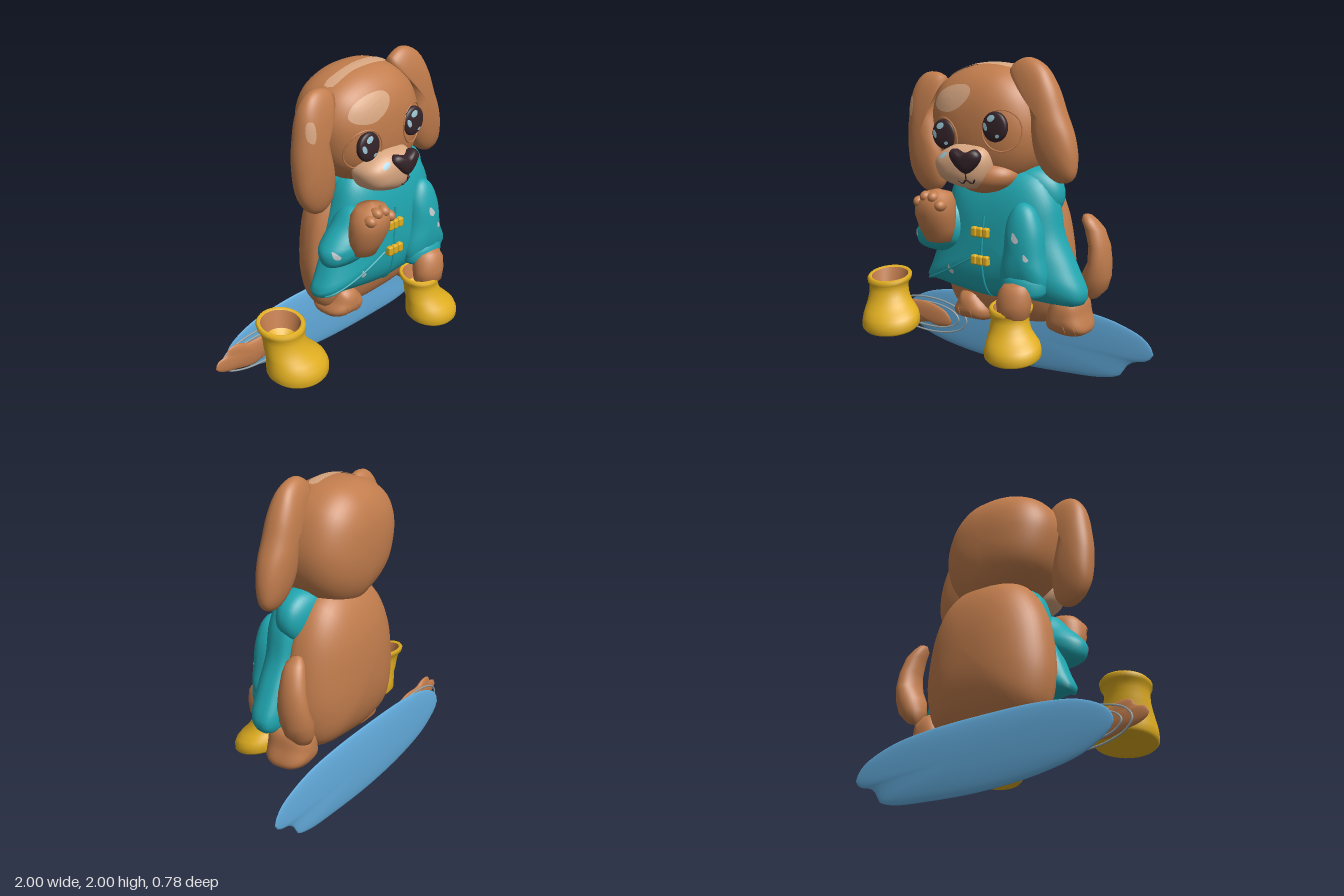
import * as THREE from 'three';
import { RoundedBoxGeometry } from 'three/addons/geometries/RoundedBoxGeometry.js';

const material = (name, color, side = THREE.FrontSide) => {
  const m = new THREE.MeshStandardMaterial({ color, side });
  m.name = name;
  return m;
};

// Smooth skin over a list of rings that all have the same point count
function skin(rings) {
  const n = rings[0].length, pos = [], index = [];
  rings.forEach(r => r.forEach(p => pos.push(p.x, p.y, p.z)));
  for (let i = 0; i < rings.length - 1; i++) for (let j = 0; j < n; j++) {
    const a = i * n + j, b = i * n + (j + 1) % n;
    index.push(a, b, b + n, a, b + n, a + n);
  }
  const g = new THREE.BufferGeometry();
  g.setAttribute('position', new THREE.Float32BufferAttribute(pos, 3));
  g.setIndex(index);
  g.computeVertexNormals();
  return g;
}

// Smooth closed outline through a few points, counter-clockwise
function outline(points, n) {
  const c = new THREE.CatmullRomCurve3(points.map(p => new THREE.Vector3(p[0], p[1], 0)), true, 'centripetal');
  const loop = c.getSpacedPoints(n).slice(0, n);
  if (THREE.ShapeUtils.area(loop) < 0) loop.reverse();
  const mid = loop.reduce((s, p) => s.add(p), new THREE.Vector3()).divideScalar(n);
  return { loop, mid };
}

const oval = (x, y, rx, ry, tilt = 0) => Array.from({ length: 12 }, (_, i) => {
  const a = i * Math.PI / 6, u = Math.cos(a) * rx, v = Math.sin(a) * ry;
  return [x + u * Math.cos(tilt) - v * Math.sin(tilt), y + u * Math.sin(tilt) + v * Math.cos(tilt)];
});

// Inflated outline: z is the seam, front and back are the bulge depths
function pillow(points, z, front, back, k = 2, n = 56) {
  const { loop, mid } = outline(points, n), rings = [], steps = 28;
  for (let i = 0; i <= steps; i++) {
    const a = -Math.PI / 2 + Math.PI * i / steps;
    const s = Math.max(Math.cos(a), 1e-4) ** (2 / k), h = Math.abs(Math.sin(a)) ** (2 / k);
    rings.push(loop.map(p => new THREE.Vector3().lerpVectors(mid, p, s).setZ(z + (a < 0 ? -back : front) * h)));
  }
  return skin(rings);
}

// Upright loft through [x, y, z, rx, rz] sections, with a forward lean of each section
function loft(sections, lean = 0, n = 36) {
  return skin(sections.map(([x, y, z, rx, rz]) => Array.from({ length: n }, (_, j) => {
    const a = j / n * Math.PI * 2, dz = -Math.sin(a) * rz;
    return new THREE.Vector3(x + Math.cos(a) * rx, y - lean * dz, z + dz);
  })));
}

// Drops points onto target meshes along -z, or along -y with the pair read as (x, -z)
const ray = new THREE.Raycaster();
function drop(x, y, targets, lift, above) {
  const o = above ? new THREE.Vector3(x, 5, -y) : new THREE.Vector3(x, y, 5);
  ray.set(o, above ? new THREE.Vector3(0, -1, 0) : new THREE.Vector3(0, 0, -1));
  const hit = ray.intersectObjects(targets)[0];
  const p = hit ? hit.point : o.setComponent(above ? 1 : 2, 0);
  p.setComponent(above ? 1 : 2, p.getComponent(above ? 1 : 2) + lift);
  return p;
}
function patch(points, targets, lift = 0.005, above = false) {
  const { loop, mid } = outline(points, 32);
  return skin([1, 0.8, 0.6, 0.4, 0.2, 0.001].map(s => loop.map(p =>
    drop(mid.x + (p.x - mid.x) * s, mid.y + (p.y - mid.y) * s, targets, lift, above))));
}
function line(points, targets, r, closed = false) {
  const flat = new THREE.CatmullRomCurve3(points.map(p => new THREE.Vector3(p[0], p[1], 0)), closed);
  const path = flat.getPoints(40).map(p => drop(p.x, p.y, targets, 0.002));
  if (closed) path.pop();
  return new THREE.TubeGeometry(new THREE.CatmullRomCurve3(path, closed), 80, r, 6, closed);
}

export function createModel() {
  const fur = material('brown fur', 0xc27d4d), tan = material('light fur', 0xd8a680, THREE.DoubleSide);
  const teal = material('teal coat', 0x20a7b1), yellow = material('yellow rubber', 0xe0ae20);
  const water = material('blue water', 0x63acdd), dark = material('dark', 0x35242a, THREE.DoubleSide);
  const glint = material('pale blue', 0x9cc8d6, THREE.DoubleSide), drip = material('pale grey', 0xc8cdd0, THREE.DoubleSide);
  const ripple = material('ripple grey', 0x98a4a6);
  const root = new THREE.Group();
  root.name = 'puppyInRaincoat';
  const add = (name, g, m) => {
    const mesh = new THREE.Mesh(g, m);
    mesh.name = name;
    root.add(mesh);
    return mesh;
  };

  // Puddle, mud and ripples
  add('puddle', pillow([[.4, .45], [.65, .43], [.82, .39], [.95, .33], [1, .25], [.96, .205], [.87, .18], [.82, .14], [.79, .085],
    [.68, .045], [.4, .018], [0, .004], [-.4, .03], [-.7, .1], [-.85, .21], [-.82, .29], [-.66, .38], [-.4, .43], [0, .45]],
    -.333, .025, .025, 2, 96), water);
  add('mud', pillow([[-1, .26], [-.98, .3], [-.92, .32], [-.9, .355], [-.83, .365], [-.76, .34], [-.6, .34], [-.45, .29], [-.41, .22],
    [-.5, .185], [-.6, .2], [-.72, .175], [-.86, .2], [-.96, .225]], -.23, .022, .022), fur);
  for (const [rx, ry] of [[.305, .117], [.24, .083]]) {
    const path = new THREE.CatmullRomCurve3(oval(-.62, .24, rx, ry).map(p => new THREE.Vector3(p[0], p[1], -.273)), true);
    add('ripple', new THREE.TubeGeometry(path, 72, .006, 6, true), ripple);
  }

  // Body, feet and tail
  add('body', pillow([[.1, 1.38], [.34, 1.32], [.46, 1.17], [.53, .92], [.54, .65], [.45, .44], [.2, .385], [-.1, .385],
    [-.27, .45], [-.335, .62], [-.335, .86], [-.28, 1.1], [-.14, 1.3]], -.13, .15, .26, 2.3), fur);
  const feet = [
    pillow([[-.25, .4], [-.22, .365], [-.1, .355], [0, .365], [.025, .42], [-.02, .5], [-.08, .56], [-.18, .55], [-.22, .47]], -.12, .15, .14, 2.6),
    pillow([[.42, .4], [.5, .365], [.62, .365], [.68, .4], [.66, .5], [.63, .6], [.5, .62], [.43, .52]], -.12, .13, .15, 2.6),
  ].map(g => add('foot', g, fur));
  for (const x of [-.17, -.08, .57, .63])
    add('toeLine', line([[x, .385], [x + .008, .41], [x, .44]], feet, .003), fur);
  add('tail', loft([[.6, .55, -.25, .002, .002], [.61, .57, -.25, .05, .05], [.635, .63, -.245, .085, .085], [.655, .71, -.24, .09, .1],
    [.68, .8, -.235, .066, .1], [.678, .9, -.23, .061, .085], [.65, 1, -.22, .058, .07], [.62, 1.05, -.21, .047, .055],
    [.603, 1.08, -.21, .025, .03], [.598, 1.088, -.21, .001, .001]]), fur);

  // Raincoat
  const coat = add('coat', pillow([[-.15, 1.3], [-.24, 1.08], [-.3, .88], [-.36, .72], [-.405, .6], [-.34, .6], [-.15, .57], [.1, .55],
    [.3, .57], [.55, .57], [.68, .585], [.71, .64], [.64, .8], [.55, .98], [.5, 1.2], [.4, 1.33], [.1, 1.36]],
    -.03, .19, .11, 2.6, 72), teal);
  add('hood', pillow([[-.18, 1.26], [-.16, 1.17], [.1, 1.12], [.28, 1.06], [.44, 1.07], [.52, 1.17], [.51, 1.28], [.42, 1.36],
    [.28, 1.37], [.05, 1.33], [-.1, 1.32]], -.06, .14, .12, 2.4), teal);
  const rightSleeve = add('rightSleeve', pillow([[-.2, 1.16], [-.3, 1.06], [-.38, .98], [-.42, .92], [-.4, .84], [-.3, .81], [-.17, .82],
    [-.07, .88], [-.04, .97], [-.08, 1.1]], .08, .13, .13), teal);
  const leftSleeve = add('leftSleeve', pillow([[.35, 1.18], [.28, 1.1], [.25, .9], [.225, .72], [.26, .645], [.38, .635], [.5, .66],
    [.53, .74], [.51, .87], [.48, 1.05], [.42, 1.16]], .12, .105, .1, 2.3), teal);
  add('leftCuff', loft([[.38, .64, .13, .06, .05], [.38, .64, .13, .125, .09], [.38, .67, .13, .145, .105], [.38, .73, .13, .145, .105],
    [.38, .755, .13, .125, .09]], .05), teal);
  add('coatFold', line([[-.37, .61], [-.2, .69], [.02, .81]], [coat], .007), teal);
  add('coatSeam', line([[.115, 1.08], [.1, .85], [.105, .57]], [coat], .007), teal);
  for (const y of [.98, .81]) for (const x of [.055, .096, .137])
    add('toggle', new RoundedBoxGeometry(.04, .06, .045, 3, .012), yellow).position.set(x, y, .165);
  for (const [x, y, s] of [[.37, .99, .8], [.44, .88, .55], [-.38, .925, .65], [-.14, .715, .7]])
    add('rainDrop', patch([[x - .02 * s, y + .038 * s], [x - .024 * s, y - .02 * s], [x + .01 * s, y - .04 * s],
      [x + .032 * s, y - .02 * s], [x + .012 * s, y + .01 * s]], [coat, leftSleeve, rightSleeve]), drip);

  // Raised paw
  add('rightForearm', loft([[-.19, .88, .18, .01, .01], [-.19, .9, .19, .08, .07], [-.19, .98, .21, .115, .09], [-.185, 1.07, .23, .13, .11],
    [-.18, 1.15, .235, .125, .11], [-.17, 1.2, .23, .09, .085], [-.17, 1.225, .23, .002, .002]]), fur);
  for (const [x, y] of [[-.25, 1.15], [-.2, 1.185], [-.145, 1.185], [-.095, 1.14]]) {
    const toe = add('toe', new THREE.SphereGeometry(1, 24, 16), fur);
    toe.position.set(x, y, .3);
    toe.scale.set(.034, .034, .042);
  }

  // Lowered paw, resting over the boot rim
  add('leftForearm', loft([[.36, .495, .2, .002, .002], [.36, .502, .205, .06, .05], [.36, .53, .212, .098, .082], [.36, .6, .213, .108, .088],
    [.368, .67, .205, .102, .086], [.372, .71, .195, .08, .07], [.375, .73, .185, .04, .04], [.375, .735, .18, .001, .001]]), fur);

  // Boots: one standing empty, one worn
  const shell = loft([[-.65, .285, .1, .001, .001], [-.65, .275, .1, .05, .045], [-.65, .257, .1, .1, .09], [-.65, .255, .1, .18, .16],
    [-.65, .27, .1, .194, .172], [-.65, .31, .1, .194, .172], [-.656, .345, .095, .185, .166], [-.672, .38, .085, .165, .15],
    [-.692, .415, .067, .145, .135], [-.702, .46, .054, .133, .124], [-.708, .5, .045, .13, .121],
    [-.71, .535, .038, .134, .124], [-.71, .543, .035, .146, .136], [-.71, .567, .032, .15, .138], [-.71, .58, .03, .138, .128],
    [-.71, .572, .03, .122, .112]], .18);
  const lining = loft([[-.71, .572, .03, .122, .112], [-.71, .47, .035, .095, .088]], .18);
  const inside = loft([[-.71, .47, .035, .095, .088], [-.71, .43, .04, .05, .045], [-.71, .42, .04, .001, .001]], .18);
  for (const [name, size, x, y, z] of [['emptyBoot', 1, 0, 0, 0], ['wornBoot', .89, .95, .058, .148]]) {
    const boot = new THREE.Group();
    boot.name = name;
    boot.add(new THREE.Mesh(shell, yellow), new THREE.Mesh(lining, fur), new THREE.Mesh(inside, yellow));
    boot.children.forEach((c, i) => { c.name = ['bootShell', 'bootLining', 'bootInside'][i]; });
    boot.scale.setScalar(size);
    boot.position.set(x, y, z);
    root.add(boot);
  }

  // Head and ears
  const head = add('head', pillow([[.06, 1.955], [.2, 1.935], [.33, 1.84], [.4, 1.7], [.42, 1.55], [.38, 1.4], [.28, 1.28], [.12, 1.21],
    [-.02, 1.235], [-.17, 1.3], [-.28, 1.4], [-.34, 1.55], [-.35, 1.7], [-.28, 1.84], [-.12, 1.93]], -.09, .29, .28, 2.5, 72), fur);
  const rightEar = add('rightEar', pillow([[-.26, 1.85], [-.33, 1.89], [-.42, 1.88], [-.49, 1.8], [-.53, 1.62], [-.54, 1.45], [-.51, 1.26],
    [-.44, 1.17], [-.36, 1.15], [-.29, 1.2], [-.27, 1.35], [-.31, 1.55], [-.335, 1.7], [-.3, 1.79]], 0, .1, .1, 2.2), fur);
  add('leftEar', pillow([[.2, 1.93], [.25, 1.98], [.32, 2], [.42, 1.96], [.5, 1.85], [.56, 1.7], [.62, 1.55], [.64, 1.42], [.62, 1.32],
    [.55, 1.29], [.47, 1.32], [.4, 1.4], [.36, 1.55], [.355, 1.68], [.3, 1.83]], 0, .1, .1, 2.2), fur);
  add('foreheadSheen', patch([[-.25, 1.72], [-.22, 1.69], [-.1, 1.68], [0, 1.74], [.03, 1.8], [0, 1.835], [-.12, 1.83], [-.22, 1.78]], [head]), tan);
  add('crownSheen', patch([[-.25, .065], [-.24, .01], [-.1, 0], [.05, -.005], [.19, .005], [.2, .06], [.05, .07], [-.1, .065]], [head], .007, true), tan);
  add('earSheen', patch([[-.5, 1.64], [-.47, 1.62], [-.455, 1.68], [-.465, 1.74], [-.49, 1.74]], [rightEar]), tan);

  // Muzzle, chin, nose and mouth
  const muzzle = add('muzzle', pillow([[-.2, 1.4], [-.17, 1.3], [-.06, 1.25], [.08, 1.24], [.15, 1.29], [.18, 1.4], [.15, 1.48],
    [.06, 1.5], [-.08, 1.49]], .13, .165, .08, 2.7), tan);
  add('chin', pillow(oval(.09, 1.305, .2, .105, .1), .05, .165, .12, 2.3), fur);
  add('nose', pillow([[-.045, 1.45], [-.02, 1.48], [.06, 1.462], [.13, 1.485], [.165, 1.45], [.13, 1.38], [.075, 1.34], [0, 1.38]], .27, .05, .05, 2.4), dark);
  add('mouth', line([[.025, 1.3], [.05, 1.285], [.075, 1.305], [.1, 1.285], [.12, 1.31]], [muzzle], .005), dark);
  add('lipLine', line([[.075, 1.35], [.075, 1.305]], [muzzle], .004), dark);
  add('cheekGlint', patch(oval(-.09, 1.435, .03, .014, .5), [muzzle, head], .004), glint);

  // Eyes, each with a thin rim slightly off centre
  for (const [x, y, tilt, rimX] of [[-.148, 1.545, .15, -.158], [.212, 1.612, -.1, .238]]) {
    add('eyeRim', line(oval(rimX, y - .023, .11, .12), [head], .005, true), fur);
    const eye = add('eye', pillow(oval(x, y, .082, .088, tilt), drop(x, y, [head], .008).z, .025, .04, 2.6), dark);
    for (const [dx, dy, rx, ry] of [[-.012, .05, .027, .018], [-.052, .0, .014, .026], [.03, -.05, .014, .01]])
      add('eyeGlint', patch(oval(x + dx, y + dy, rx, ry, .4), [eye], .004), glint);
  }
  return root;
}
